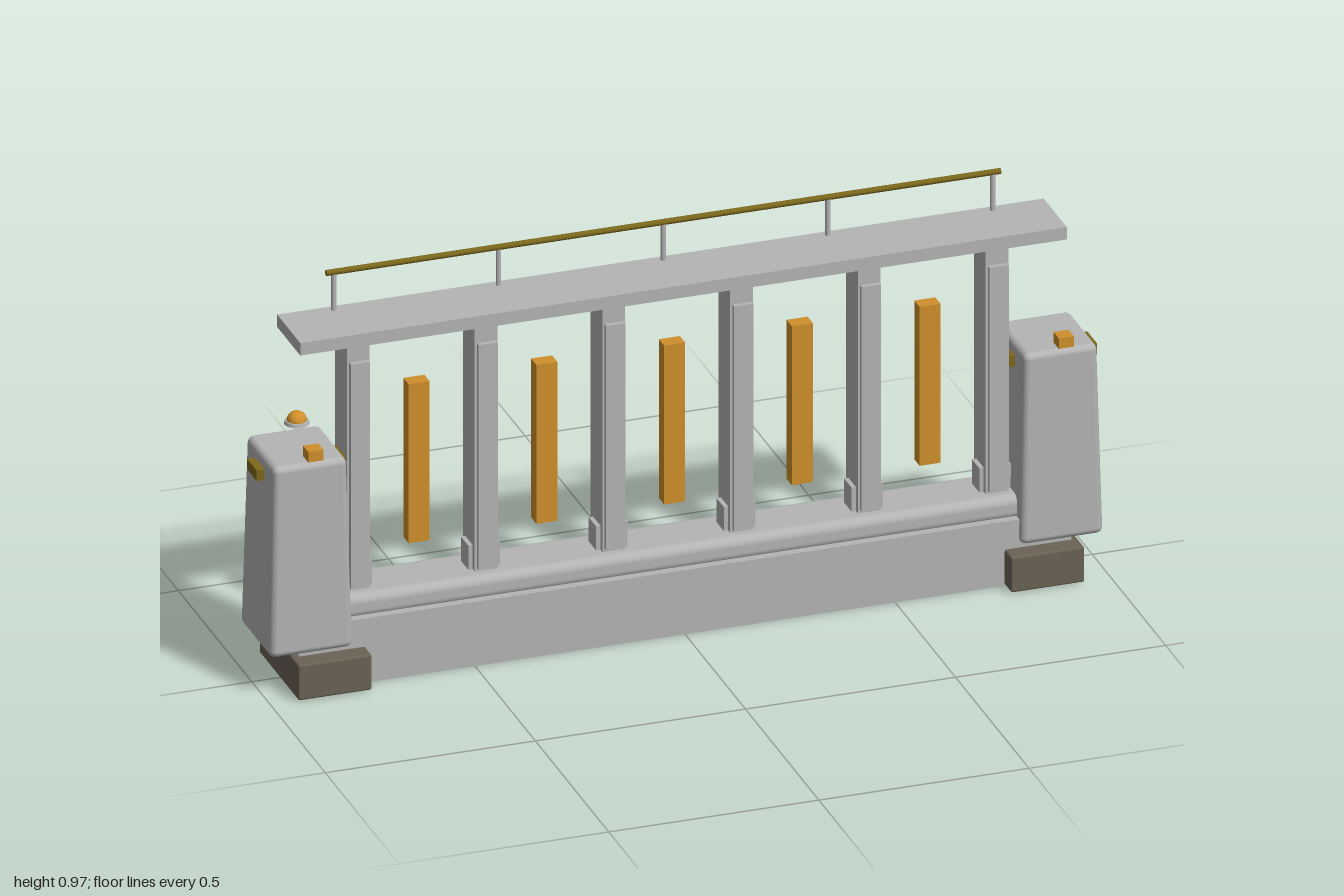
import * as THREE from 'three';
import { RoundedBoxGeometry } from 'three/addons/geometries/RoundedBoxGeometry.js';

const mat = (name, color) => {
  const m = new THREE.MeshStandardMaterial({ color });
  m.name = name;
  return m;
};

export function createModel() {
  const root = new THREE.Group();
  root.name = 'barrier';
  const concrete = mat('grey concrete', 0xb4b4b4);
  const amber = mat('amber', 0xd0902c);
  const brass = mat('dark brass', 0x7c681c);
  const rubber = mat('brown rubber', 0x6a6254);

  const add = (name, geo, material, x, y, z, parent = root) => {
    const m = new THREE.Mesh(geo, material);
    m.name = name;
    m.position.set(x, y, z);
    parent.add(m);
    return m;
  };
  const box = (w, h, d) => new THREE.BoxGeometry(w, h, d);

  // base beam with a rounded curb on top
  add('baseBeam', box(1.84, 0.16, 0.178), concrete, 0, 0.08, 0);
  add('curb', new RoundedBoxGeometry(1.66, 0.06, 0.144, 4, 0.022), concrete, 0, 0.18, 0);

  // end pillars: rounded boxes narrowing towards the top
  const pillarGeo = new RoundedBoxGeometry(0.198, 0.47, 0.21, 4, 0.016);
  const p = pillarGeo.attributes.position;
  for (let i = 0; i < p.count; i++) {
    const t = p.getY(i) / 0.47 + 0.5;
    p.setX(i, p.getX(i) * (1 - 0.12 * t));
    p.setZ(i, p.getZ(i) * (1 - 0.09 * t));
  }
  for (const s of [-1, 1]) {
    const end = new THREE.Group();
    end.name = s > 0 ? 'leftEnd' : 'rightEnd';
    root.add(end);
    add('pillar', pillarGeo, concrete, s * 0.893, 0.335, 0, end);
    add('foot', new RoundedBoxGeometry(0.175, 0.088, 0.268, 2, 0.005), rubber, s * 0.848, 0.046, 0, end);
    add('sidePlate', box(0.214, 0.026, 0.066), brass, s * 0.893, 0.528, 0, end);
    add('markerLamp', box(0.036, 0.026, 0.036), amber, s * 0.893, 0.604, 0.112, end);
  }

  // beacon above one pillar
  add('beaconBase', new THREE.CylinderGeometry(0.027, 0.029, 0.008, 20), concrete, -0.893, 0.632, 0);
  add('beaconDome', new THREE.SphereGeometry(0.023, 20, 8, 0, Math.PI * 2, 0, Math.PI / 2), amber, -0.893, 0.635, 0);

  // posts with facing strips, gussets and lamps
  for (let i = 0; i < 6; i++) {
    const x = -0.76 + i * 0.304;
    const post = new THREE.Group();
    post.name = 'post' + (i + 1);
    post.position.x = x;
    root.add(post);
    add('column', box(0.054, 0.63, 0.076), concrete, 0, 0.515, 0, post);
    add('socket', box(0.075, 0.07, 0.05), concrete, 0, 0.235, 0, post);
    add('postLamp', box(0.06, 0.026, 0.024), amber, 0, 0.815, 0, post);
    for (const s of [-1, 1]) {
      add('facingStrip', box(0.046, 0.56, 0.011), concrete, 0, 0.5, s * 0.0475, post);
    }
  }

  // amber panels between the posts
  for (let i = -2; i <= 2; i++) {
    add('panel', box(0.05, 0.396, 0.036), amber, i * 0.304, 0.493, 0);
  }

  // top shelf and its thin rail
  add('shelf', box(1.824, 0.031, 0.157), concrete, 0, 0.85, 0);
  for (let i = -2; i <= 2; i++) {
    add('railPost', new THREE.CylinderGeometry(0.006, 0.006, 0.095, 10), concrete, i * 0.392, 0.912, -0.06);
  }
  const rail = add('rail', new THREE.CylinderGeometry(0.007, 0.007, 1.605, 10), brass, 0, 0.96, -0.06);
  rail.rotation.z = Math.PI / 2;

  return root;
}
